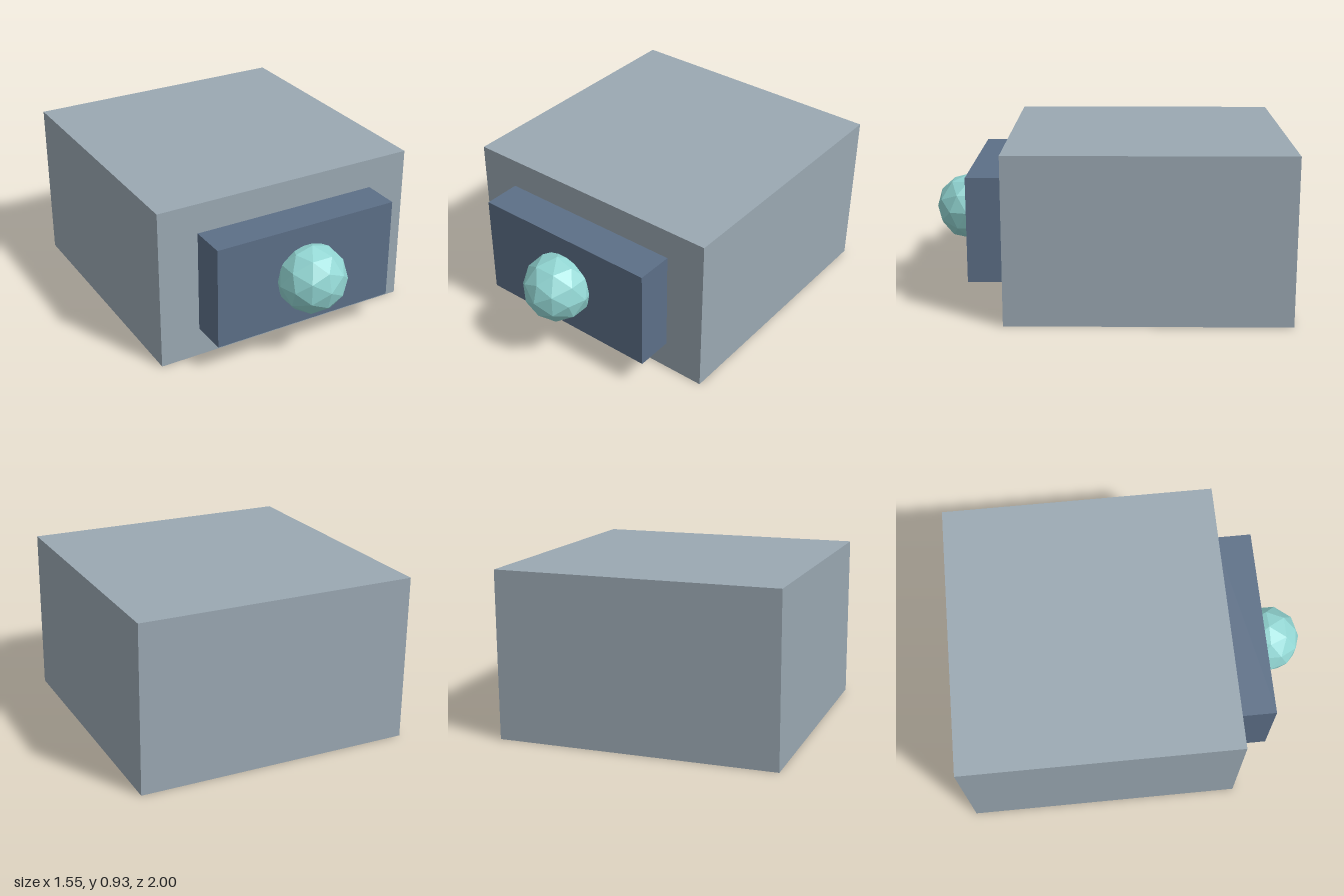
import * as THREE from 'three';

function makeMaterial(name, color) {
  const material = new THREE.MeshStandardMaterial({ color });
  material.name = name;
  return material;
}

function addPart(group, name, geometry, material, x, y, z) {
  const mesh = new THREE.Mesh(geometry, material);
  mesh.name = name;
  mesh.position.set(x, y, z);
  group.add(mesh);
  return mesh;
}

export function createModel() {
  const model = new THREE.Group();
  model.name = 'drawer';

  const grey = makeMaterial('pale blue grey', 0x9aa8b2);
  const slate = makeMaterial('slate blue', 0x5c6f87);
  const aqua = makeMaterial('aqua', 0x92d6d3);
  aqua.flatShading = true;

  const midY = 0.463;

  // Main block
  addPart(model, 'body', new THREE.BoxGeometry(1.55, 0.926, 1.548), grey, 0, midY, -0.226);

  // Raised panel on the front
  addPart(model, 'frontPanel', new THREE.BoxGeometry(1.09, 0.585, 0.212), slate, 0, midY, 0.654);

  // Faceted knob, partly sunk into the panel
  addPart(model, 'knob', new THREE.IcosahedronGeometry(0.195, 1), aqua, 0, midY, 0.805);

  return model;
}
